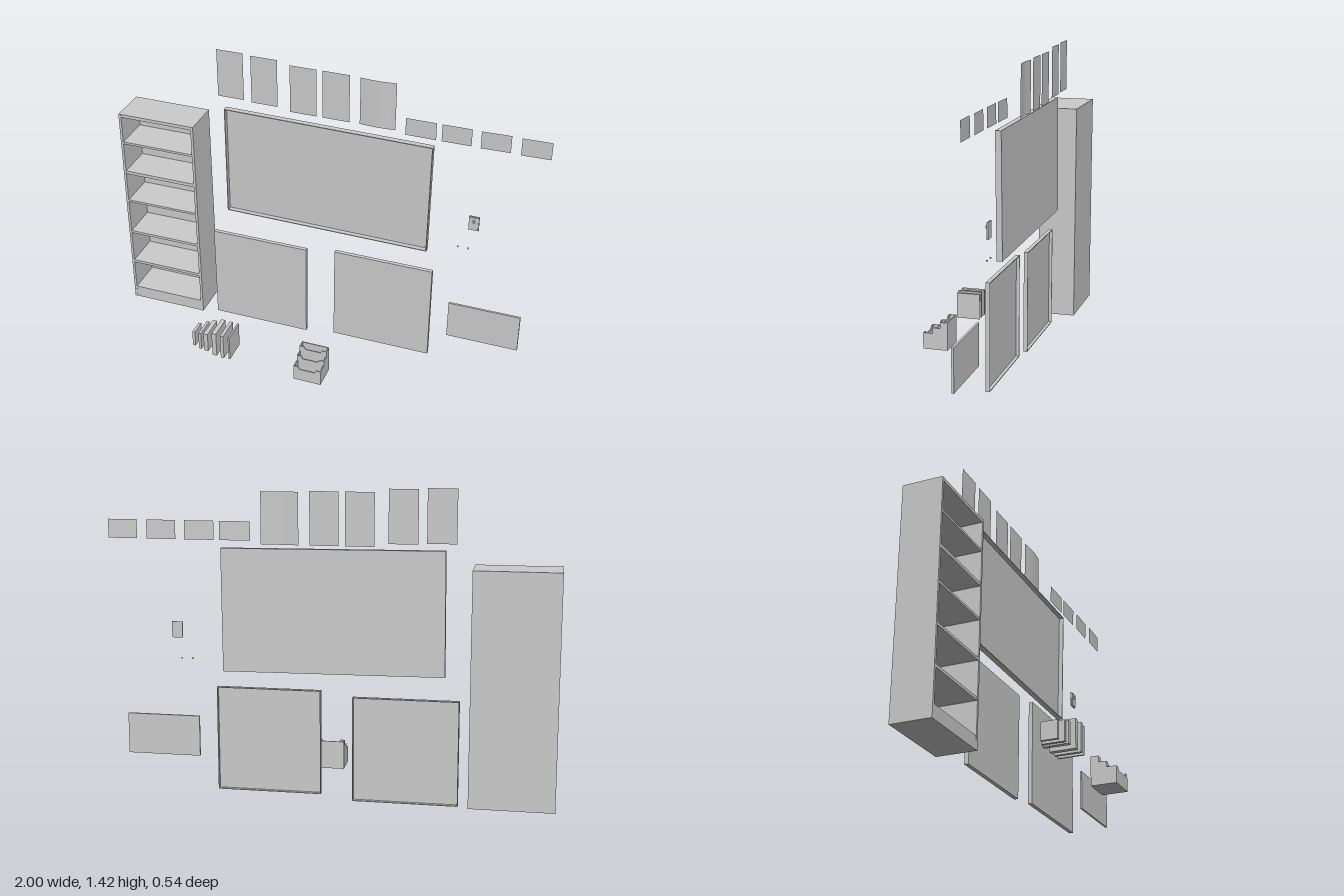
import * as THREE from 'three';

const grey = new THREE.MeshStandardMaterial({ color: 0xcccccc, flatShading: true, side: THREE.DoubleSide });

function add(parent, name, geometry) {
  const mesh = new THREE.Mesh(geometry, grey);
  mesh.name = name;
  parent.add(mesh);
  return mesh;
}

// Box given by its limits on each axis
function block(parent, name, x0, x1, y0, y1, z0, z1) {
  const mesh = add(parent, name, new THREE.BoxGeometry(x1 - x0, y1 - y0, z1 - z0));
  mesh.position.set((x0 + x1) / 2, (y0 + y1) / 2, (z0 + z1) / 2);
  return mesh;
}

function sheet(parent, name, x0, x1, y0, y1, z) {
  const mesh = add(parent, name, new THREE.PlaneGeometry(x1 - x0, y1 - y0, 8, 1));
  mesh.position.set((x0 + x1) / 2, (y0 + y1) / 2, z);
  return mesh;
}

// Shallow board: a panel with a thin rim; side = 1 opens to the front, -1 to the back
function board(name, w, h, depth, side) {
  const group = new THREE.Group();
  group.name = name;
  const t = 0.004;
  const zPanel = -side * (depth / 2 - t / 2);
  block(group, 'panel', -w / 2, w / 2, -h / 2, h / 2, zPanel - t / 2, zPanel + t / 2);
  for (const s of [-1, 1]) {
    const rimX = add(group, 'sideRim', new THREE.BoxGeometry(t, h, depth));
    rimX.position.x = s * (w / 2 - t / 2);
    const rimY = add(group, 'edgeRim', new THREE.BoxGeometry(w - 2 * t, t, depth));
    rimY.position.y = s * (h / 2 - t / 2);
  }
  return group;
}

function bookcase() {
  const g = new THREE.Group();
  g.name = 'bookcase';
  const [x0, x1, z0, z1] = [-1, -0.622, -0.27, -0.086];
  const wall = 0.012;
  block(g, 'leftPanel', x1 - wall, x1, 0.03, 1.08, z0, z1);
  block(g, 'rightPanel', x0, x0 + wall, 0.03, 1.08, z0, z1);
  block(g, 'backPanel', x0 + wall, x1 - wall, 0.03, 1.08, z0, z0 + 0.008);
  // Plinth, shelves and top as bottom/top heights
  const levels = [[0.03, 0.09], [0.24, 0.254], [0.417, 0.43], [0.599, 0.61],
    [0.757, 0.773], [0.922, 0.933], [1.064, 1.08]];
  levels.forEach(([a, b], i) => {
    const name = i === 0 ? 'plinth' : i === 6 ? 'top' : 'shelf';
    block(g, name, x0 + wall, x1 - wall, a, b, z0 + 0.008, z1 - 0.001);
  });
  return g;
}

function organizer() {
  const g = new THREE.Group();
  g.name = 'steppedOrganizer';
  const [x0, x1, y0] = [-0.004, 0.13, 0.049];
  const t = 0.005;
  // Stepped side walls, drawn with z across and extruded along x
  const profile = [[0.15, y0], [0.268, y0], [0.268, 0.126], [0.222, 0.126], [0.222, 0.153],
    [0.186, 0.153], [0.186, 0.182], [0.15, 0.182]];
  const side = new THREE.Shape(profile.map(([z, y]) => new THREE.Vector2(-z, y)));
  for (const x of [x0, x1 - t]) {
    const geo = new THREE.ExtrudeGeometry(side, { depth: t, bevelEnabled: false });
    const m = add(g, 'sideWall', geo);
    m.rotation.y = Math.PI / 2;
    m.position.x = x;
  }
  // Dividers with a dip in the upper edge
  for (const [z, top] of [[0.268, 0.126], [0.222, 0.153], [0.186, 0.182]]) {
    const dip = top - 0.014;
    const pts = [[x0 + t, y0], [x1 - t, y0], [x1 - t, top], [x1 - 0.022, top], [x1 - 0.03, dip],
      [x0 + 0.03, dip], [x0 + 0.022, top], [x0 + t, top]];
    const shape = new THREE.Shape(pts.map(([x, y]) => new THREE.Vector2(x, y)));
    const m = add(g, 'divider', new THREE.ExtrudeGeometry(shape, { depth: t, bevelEnabled: false }));
    m.position.z = z - t;
  }
  block(g, 'backWall', x0 + t, x1 - t, y0, 0.182, 0.15, 0.155);
  block(g, 'floor', x0 + t, x1 - t, y0, y0 + t, 0.155, 0.263);
  return g;
}

export function createModel() {
  const model = new THREE.Group();
  model.name = 'classroomWall';
  model.add(bookcase(), organizer());

  // Large wall board, hung a little crooked
  const main = board('whiteboard', 0.99, 0.552, 0.026, 1);
  main.position.set(-0.011, 0.87, -0.195);
  main.rotation.set(0.01, 0, -0.009);
  model.add(main);

  // Two lower boards
  for (const [x, y] of [[-0.333, 0.242], [0.286, 0.266]]) {
    const b = board('lowerBoard', 0.476, 0.481, 0.019, -1);
    b.position.set(x, y, -0.159);
    model.add(b);
  }
  block(model, 'smallBoard', 0.614, 0.952, 0.172, 0.36, -0.149, -0.139);

  // Tall posters, the widest one slightly bowed
  for (const [x0, x1, y0, y1] of [[-0.553, -0.425, 1.185, 1.42], [-0.388, -0.26, 1.18, 1.415],
    [-0.2, -0.072, 1.166, 1.4], [-0.045, 0.083, 1.166, 1.4]]) {
    sheet(model, 'poster', x0, x1, y0, y1, -0.233);
  }
  const bowed = sheet(model, 'bowedPoster', 0.131, 0.297, 1.166, 1.396, -0.233);
  const p = bowed.geometry.attributes.position;
  for (let i = 0; i < p.count; i++) p.setZ(i, 0.003 * Math.cos(p.getX(i) * 30));
  bowed.geometry.computeVertexNormals();

  // Small cards
  [[0.355, 0.494], [0.519, 0.652], [0.693, 0.824], [0.869, 1]].forEach(([x0, x1], i) => {
    const card = sheet(model, 'card', x0, x1, 1.176, 1.26, -0.194);
    card.rotation.y = [0, 0.01, 0.03, 0.03][i];
    card.rotation.x = 0.02;
  });

  // Light switch and two pins
  const wallSwitch = new THREE.Group();
  wallSwitch.name = 'lightSwitch';
  block(wallSwitch, 'plate', 0.663, 0.711, 0.738, 0.81, -0.217, -0.211);
  block(wallSwitch, 'raisedPlate', 0.667, 0.707, 0.742, 0.806, -0.211, -0.208);
  block(wallSwitch, 'toggle', 0.683, 0.691, 0.78, 0.792, -0.208, -0.201);
  model.add(wallSwitch);
  for (const x of [0.62, 0.669]) block(model, 'pin', x, x + 0.006, 0.639, 0.645, -0.204, -0.198);

  // Row of upright books: x0, x1, y0, y1, z0, z1
  const books = new THREE.Group();
  books.name = 'books';
  for (const b of [
    [-0.537, -0.523, 0.067, 0.147, 0.147, 0.221],
    [-0.499, -0.486, 0.067, 0.158, 0.134, 0.235],
    [-0.47, -0.449, 0.067, 0.166, 0.126, 0.24],
    [-0.422, -0.4, 0.061, 0.19, 0.136, 0.251],
    [-0.377, -0.361, 0.061, 0.19, 0.138, 0.256],
    [-0.339, -0.331, 0.061, 0.187, 0.136, 0.253],
  ]) block(books, 'book', ...b);
  model.add(books);

  return model;
}
